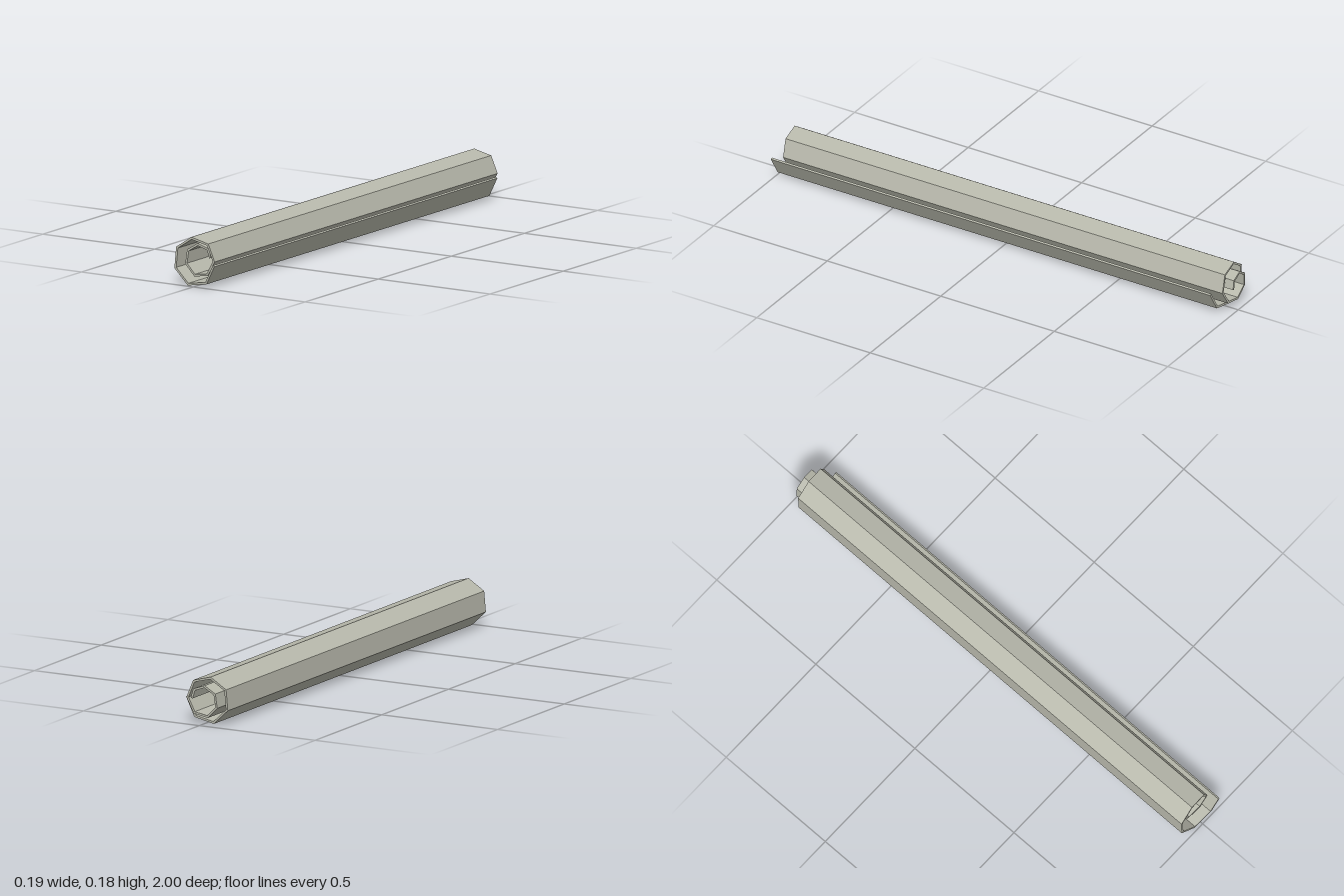
import * as THREE from 'three';

// Centre line of the rolled sheet, from the loose outer edge to the inner edge
const spiral = [
  [0.091, 0.091], [0.053, 0.020], [-0.031, 0.005], [-0.092, 0.061], [-0.088, 0.138],
  [-0.027, 0.179], [0.042, 0.161], [0.066, 0.098], [0.034, 0.043], [-0.025, 0.034],
  [-0.066, 0.074], [-0.060, 0.125], [-0.019, 0.151], [0.024, 0.136], [0.033, 0.103],
].map(([x, y]) => new THREE.Vector2(x, y));

const HALF_THICKNESS = 0.004;
const FRONT = 1, LENGTH = 1.935, SKEW = 0.065; // the roll slides backwards as it winds in

function rolledSheetGeometry() {
  const last = spiral.length - 1;
  const normalOf = (i) => {
    const d = spiral[i + 1].clone().sub(spiral[i]).normalize();
    return new THREE.Vector2(-d.y, d.x);
  };
  const along = [0];
  for (let i = 1; i <= last; i++) along.push(along[i - 1] + spiral[i].distanceTo(spiral[i - 1]));

  // Four mitred corners at each fold: outer front, outer back, inner back, inner front
  const rings = spiral.map((p, i) => {
    const a = normalOf(Math.max(i - 1, 0)), b = normalOf(Math.min(i, last - 1));
    const m = a.clone().add(b).normalize();
    m.multiplyScalar(HALF_THICKNESS / m.dot(a));
    const z = FRONT - SKEW * along[i] / along[last];
    const corner = (side, depth) => [p.x + side * m.x, p.y + side * m.y, z - depth];
    return [corner(1, 0), corner(1, LENGTH), corner(-1, LENGTH), corner(-1, 0)];
  });

  const positions = [];
  const quad = (a, b, c, d) => positions.push(...a, ...b, ...c, ...a, ...c, ...d);
  for (let i = 0; i < last; i++) {
    for (let k = 0; k < 4; k++) {
      const n = (k + 1) % 4;
      quad(rings[i][k], rings[i + 1][k], rings[i + 1][n], rings[i][n]);
    }
  }
  // Long edges of the sheet
  quad(...rings[0]);
  quad(...rings[last].slice().reverse());

  const geometry = new THREE.BufferGeometry();
  geometry.setAttribute('position', new THREE.Float32BufferAttribute(positions, 3));
  geometry.computeVertexNormals();
  return geometry;
}

export function createModel() {
  const paper = new THREE.MeshStandardMaterial({ color: 0xb8b9ac });
  paper.name = 'paper';

  const sheet = new THREE.Mesh(rolledSheetGeometry(), paper);
  sheet.name = 'rolledSheet';

  const model = new THREE.Group();
  model.name = 'rolledPaper';
  model.add(sheet);
  return model;
}
